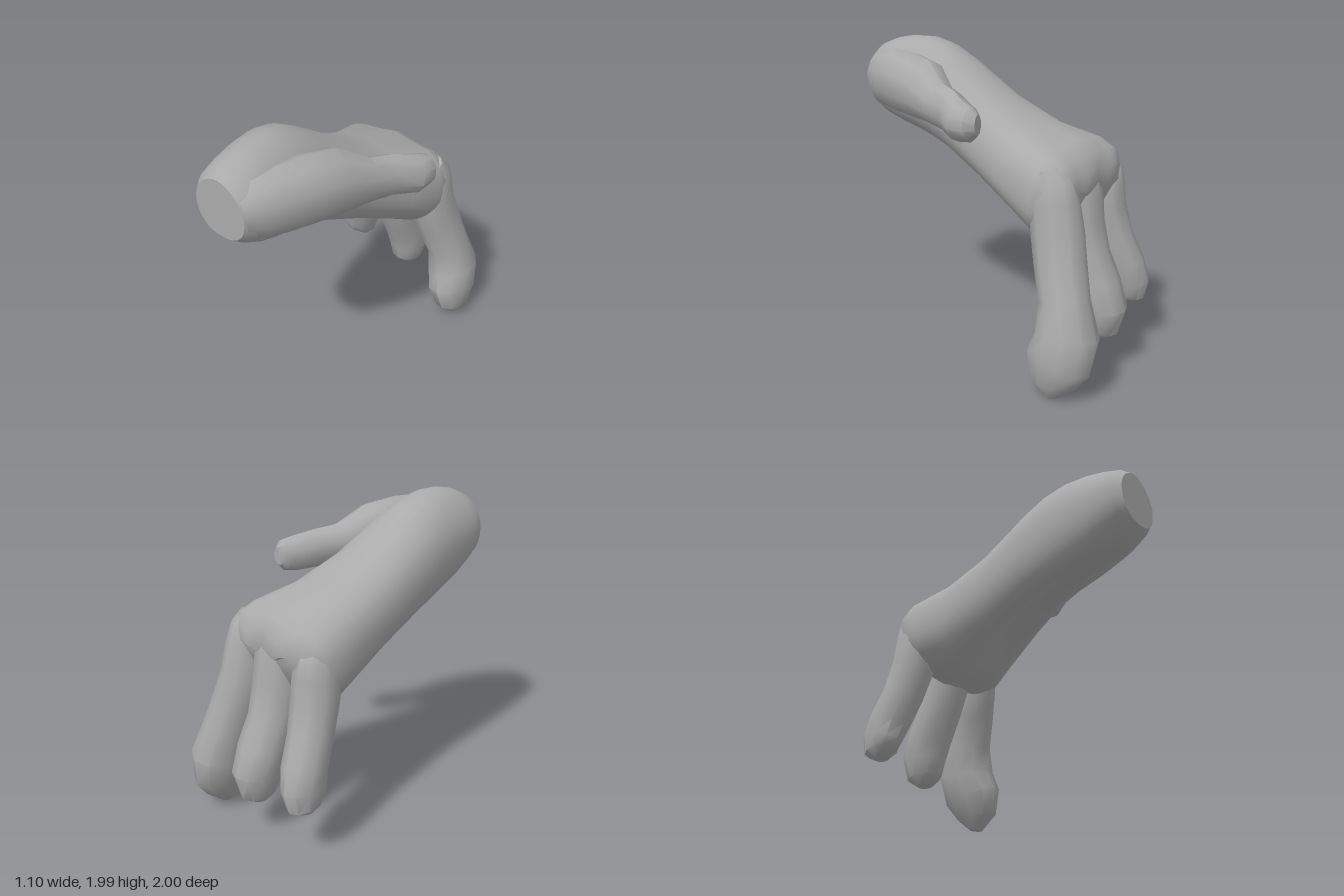
import * as THREE from 'three';
import { toCreasedNormals } from 'three/addons/utils/BufferGeometryUtils.js';

const V = (x, y, z) => new THREE.Vector3(x, y, z);

// Skin a list of rings (counter-clockwise around the direction of travel), closing both ends
function loft(rings) {
  const n = rings[0].length;
  const pos = [];
  const tri = (...pts) => pts.forEach((p) => pos.push(p.x, p.y, p.z));
  const middle = (ring) => ring.reduce((s, p) => s.add(p), V(0, 0, 0)).divideScalar(n);
  const first = rings[0], last = rings[rings.length - 1];
  const c0 = middle(first), c1 = middle(last);
  for (let i = 0; i < n; i++) {
    const j = (i + 1) % n;
    for (let k = 0; k < rings.length - 1; k++) {
      const a = rings[k], b = rings[k + 1];
      tri(a[i], a[j], b[j]);
      tri(a[i], b[j], b[i]);
    }
    tri(c0, first[j], first[i]);
    tri(c1, last[i], last[j]);
  }
  const g = new THREE.BufferGeometry();
  g.setAttribute('position', new THREE.Float32BufferAttribute(pos, 3));
  return toCreasedNormals(g, 0.75);
}

// Finger from sections [x, y, z, half width, half depth], rings square to the path
function finger(sections, sides = 10) {
  const centres = sections.map((s) => V(s[0], s[1], s[2]));
  return loft(sections.map(([, , , w, d], k) => {
    const dir = centres[Math.min(k + 1, centres.length - 1)].clone()
      .sub(centres[Math.max(k - 1, 0)]).normalize();
    const side = V(1, 0, 0).addScaledVector(dir, -dir.x).normalize();
    const up = dir.clone().cross(side);
    return Array.from({ length: sides }, (_, i) => {
      const a = ((i + 0.5) / sides) * Math.PI * 2;
      return centres[k].clone()
        .addScaledVector(side, w * 1.04 * Math.cos(a))
        .addScaledVector(up, d * 1.04 * Math.sin(a));
    });
  }));
}

// Palm from sections [zTop, zBottom, xMin, xMax, yTop, yBottom, top bend, hollow, tilt, groove]:
// a top bend above 1 peaks the back, hollow lifts the middle of the underside,
// tilt lifts its thumb side, groove sinks the back between the knuckles
function palmGeometry(sections, sides = 32) {
  const bend = (v, p) => Math.sign(v) * Math.abs(v) ** p;
  const bump = (u, c, w) => Math.exp(-(((u - c) / w) ** 2));
  return loft(sections.map(([zt, zb, x0, x1, yt, yb, top, hollow, tilt, groove]) =>
    Array.from({ length: sides }, (_, i) => {
      const a = (i / sides) * Math.PI * 2;
      const p = Math.sin(a) > 0 ? 0.85 : top;
      const u = bend(Math.cos(a), p), v = bend(-Math.sin(a), p);
      const z = THREE.MathUtils.lerp(zb, zt, (v + 1) / 2);
      let y = THREE.MathUtils.lerp(yb, yt, (v + 1) / 2);
      if (v < 0) y -= v * (hollow * bump(u, 0.05, 0.4) + tilt * Math.max(0, u));
      else y -= v * groove * (bump(u, -0.36, 0.18) + bump(u, 0.4, 0.18));
      return V((x0 + x1) / 2 + (u * (x1 - x0)) / 2, y, z);
    })));
}

export function createModel() {
  const hand = new THREE.Group();
  hand.name = 'hand';
  const skin = new THREE.MeshStandardMaterial({ color: 0xaaaaaa });
  skin.name = 'grey';
  const add = (name, geometry) => {
    const mesh = new THREE.Mesh(geometry, skin);
    mesh.name = name;
    hand.add(mesh);
  };

  // Wrist, back of the hand and knuckles
  add('palm', palmGeometry([
    [1, 1, -0.235, 0.12, 1.905, 1.54, 1.1, 0, 0, 0],
    [0.95, 0.95, -0.275, 0.155, 1.945, 1.5, 1.1, 0, 0, 0],
    [0.85, 0.85, -0.305, 0.18, 1.98, 1.435, 1.1, 0.01, 0.02, 0],
    [0.73, 0.73, -0.33, 0.18, 2.0, 1.37, 1.08, 0.03, 0.05, 0],
    [0.58, 0.58, -0.355, 0.18, 2.0, 1.305, 1.05, 0.07, 0.08, 0],
    [0.45, 0.45, -0.37, 0.185, 1.965, 1.25, 1, 0.1, 0.1, 0],
    [0.3, 0.3, -0.385, 0.2, 1.88, 1.19, 0.95, 0.12, 0.1, 0],
    [0, 0, -0.405, 0.25, 1.68, 1.05, 0.87, 0.12, 0.1, 0],
    [-0.3, -0.28, -0.45, 0.315, 1.535, 0.92, 0.8, 0.07, 0.07, 0],
    [-0.58, -0.44, -0.505, 0.375, 1.465, 0.865, 0.75, 0, 0.02, 0.02],
    [-0.68, -0.53, -0.49, 0.37, 1.415, 0.87, 0.75, 0, 0, 0.04],
    [-0.73, -0.6, -0.42, 0.32, 1.33, 0.93, 0.75, 0, 0, 0.06],
    [-0.74, -0.65, -0.36, 0.27, 1.23, 1.0, 0.75, 0, 0, 0.04],
  ]));

  // Thumb, growing out of the wrist
  add('thumb', finger([
    [0.05, 1.71, 0.965, 0.085, 0.13],
    [0.08, 1.72, 0.88, 0.12, 0.175],
    [0.12, 1.725, 0.75, 0.15, 0.195],
    [0.165, 1.72, 0.58, 0.17, 0.2],
    [0.22, 1.7, 0.4, 0.17, 0.19],
    [0.305, 1.64, 0.2, 0.115, 0.13],
    [0.365, 1.62, 0.05, 0.09, 0.125],
    [0.445, 1.59, -0.09, 0.1, 0.115],
    [0.46, 1.59, -0.17, 0.08, 0.1],
    [0.45, 1.59, -0.21, 0.045, 0.06],
  ]));

  // Three fingers hanging from the knuckles
  add('indexFinger', finger([
    [0.24, 1.34, -0.57, 0.09, 0.08],
    [0.245, 1.26, -0.6, 0.115, 0.125],
    [0.25, 1.15, -0.615, 0.13, 0.15],
    [0.255, 0.97, -0.645, 0.14, 0.16],
    [0.29, 0.8, -0.69, 0.145, 0.155],
    [0.34, 0.6, -0.755, 0.14, 0.15],
    [0.37, 0.4, -0.8, 0.17, 0.19],
    [0.405, 0.24, -0.765, 0.15, 0.205],
    [0.43, 0.1, -0.745, 0.11, 0.14],
    [0.43, 0.01, -0.75, 0.045, 0.04],
  ]));
  add('middleFinger', finger([
    [-0.04, 1.36, -0.57, 0.1, 0.09],
    [-0.04, 1.26, -0.595, 0.135, 0.13],
    [-0.04, 1.12, -0.6, 0.155, 0.15],
    [-0.035, 0.95, -0.62, 0.155, 0.15],
    [-0.035, 0.75, -0.68, 0.145, 0.14],
    [-0.035, 0.57, -0.765, 0.15, 0.14],
    [-0.035, 0.42, -0.815, 0.135, 0.145],
    [-0.035, 0.29, -0.8, 0.105, 0.115],
    [-0.035, 0.24, -0.79, 0.055, 0.05],
  ]));
  add('littleFinger', finger([
    [-0.37, 1.29, -0.57, 0.08, 0.08],
    [-0.37, 1.21, -0.585, 0.115, 0.13],
    [-0.365, 1.1, -0.59, 0.135, 0.145],
    [-0.365, 0.95, -0.61, 0.14, 0.14],
    [-0.39, 0.75, -0.67, 0.13, 0.135],
    [-0.42, 0.58, -0.745, 0.13, 0.135],
    [-0.445, 0.46, -0.775, 0.11, 0.14],
    [-0.45, 0.375, -0.77, 0.095, 0.115],
    [-0.45, 0.335, -0.75, 0.055, 0.05],
  ]));

  return hand;
}
